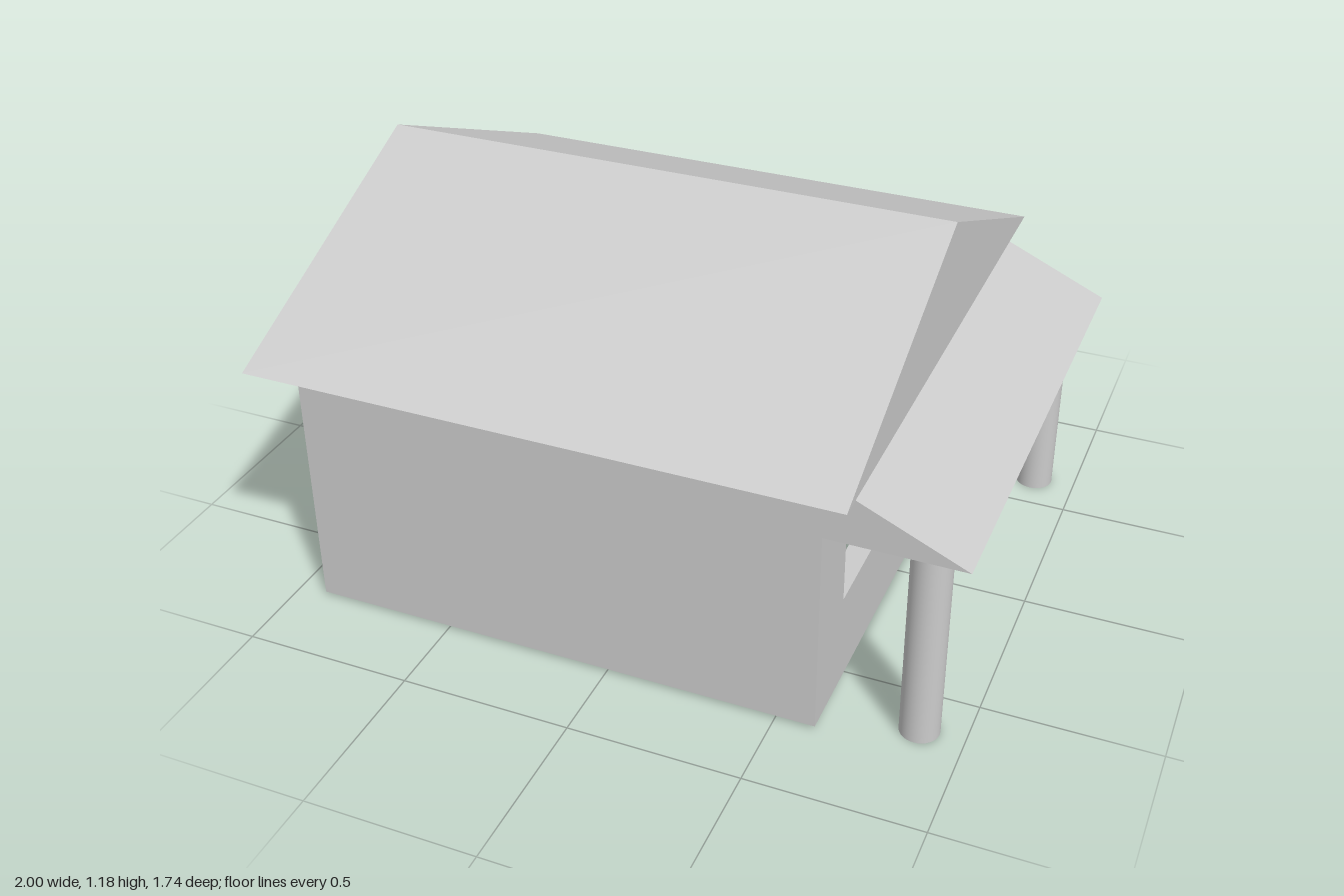
import * as THREE from 'three';

const material = new THREE.MeshStandardMaterial({ color: 0xcccccc });

function add(group, name, geometry, x = 0, y = 0, z = 0) {
  const mesh = new THREE.Mesh(geometry, material);
  mesh.name = name;
  mesh.position.set(x, y, z);
  group.add(mesh);
  return mesh;
}

const outline = (points) => points.map(([a, b]) => new THREE.Vector2(a, b));

// Extrude an outline drawn in (z, y) from x = right towards -x
function extrudeAlongX(shape, right, length) {
  return new THREE.ExtrudeGeometry(shape, { depth: length, bevelEnabled: false })
    .rotateY(-Math.PI / 2)
    .translate(right, 0, 0);
}

export function createModel() {
  const house = new THREE.Group();
  house.name = 'house';

  const left = -0.91, right = 0.615, halfDepth = 0.755;
  const base = 0.012, eaves = 0.805, lintel = 0.632, t = 0.065;
  const height = eaves - base, midY = (eaves + base) / 2;
  const innerRight = right - t, innerLength = innerRight - left;

  // Plain walls, open underneath
  const sideWall = new THREE.BoxGeometry(innerLength, height, t);
  for (const [name, side] of [['frontWall', 1], ['backWall', -1]]) {
    add(house, name, sideWall, (left + innerRight) / 2, midY, side * (halfDepth - t / 2));
  }
  add(house, 'endWall', new THREE.BoxGeometry(t, height, 2 * (halfDepth - t)), left + t / 2, midY, 0);

  // Porch-side wall with a doorway notch and a window hole
  const wall = new THREE.Shape(outline([
    [-halfDepth, base], [-0.62, base], [-0.62, lintel], [-0.235, lintel],
    [-0.235, base], [halfDepth, base], [halfDepth, eaves], [-halfDepth, eaves],
  ]));
  wall.holes.push(new THREE.Path(outline([
    [-0.075, 0.29], [-0.075, lintel], [0.55, lintel], [0.55, 0.29],
  ])));
  add(house, 'porchWall', extrudeAlongX(wall, right, t));

  // Ceiling between the walls
  add(house, 'ceiling',
    new THREE.BoxGeometry(innerLength - t, 0.06, 2 * (halfDepth - t)),
    (left + t + innerRight) / 2, eaves - 0.03, 0);

  // Gabled main roof
  const gable = new THREE.Shape(outline([[-0.87, eaves], [0.87, eaves], [0, 1.182]]));
  add(house, 'mainRoof', extrudeAlongX(gable, 0.712, 1.712));

  // Lean-to porch roof
  const leanTo = new THREE.Shape(outline([[right, lintel], [1, lintel], [right, eaves]]));
  add(house, 'porchRoof',
    new THREE.ExtrudeGeometry(leanTo, { depth: 2 * halfDepth, bevelEnabled: false }),
    0, 0, -halfDepth);

  // Porch columns
  const column = new THREE.CylinderGeometry(0.056, 0.056, lintel, 32);
  add(house, 'frontColumn', column, 0.873, lintel / 2, 0.645);
  add(house, 'backColumn', column, 0.873, lintel / 2, -0.637);

  return house;
}
